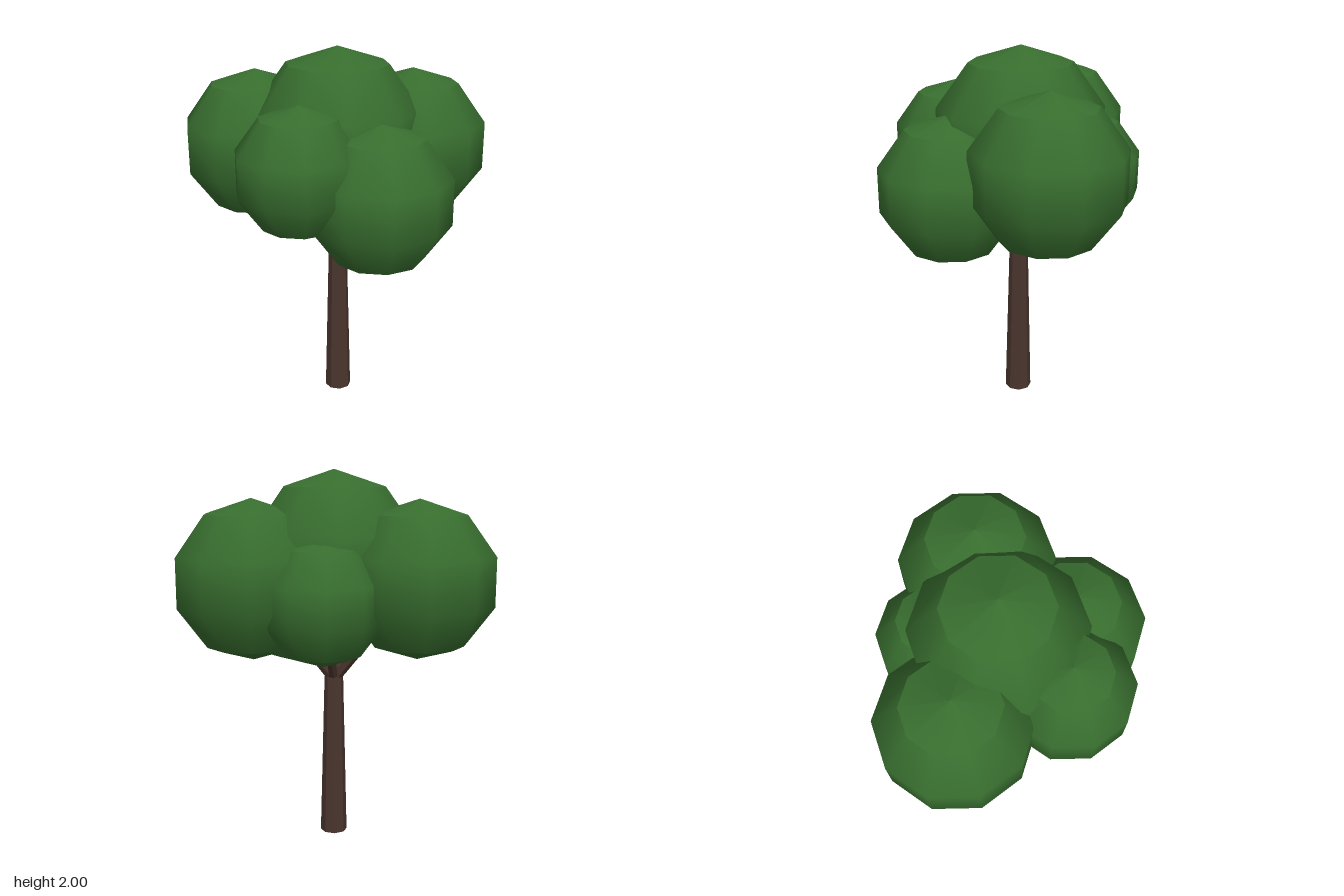
import * as THREE from 'three';

const leafGreen = new THREE.MeshStandardMaterial({ color: 0x386e2f });
const barkBrown = new THREE.MeshStandardMaterial({ color: 0x4a352d, flatShading: true });
leafGreen.name = 'leafGreen';
barkBrown.name = 'barkBrown';

const trunkX = -0.012, trunkZ = -0.058, trunkTop = 0.89;

// x, y, z, radius of each ball of leaves
const clumps = [
  ['topFoliage', -0.012, 1.532, -0.065, 0.468],
  ['rightFoliage', -0.43, 1.442, -0.285, 0.412],
  ['leftFoliage', 0.42, 1.435, -0.17, 0.42],
  ['frontRightFoliage', -0.26, 1.432, 0.275, 0.343],
  ['frontLeftFoliage', 0.143, 1.283, 0.31, 0.396],
  ['backFoliage', 0.065, 1.345, -0.376, 0.33],
];

// Ten-sided ball: smooth belly with a creased shallow cone at each end
function makeClump([name, x, y, z, r]) {
  const group = new THREE.Group();
  group.name = name;
  const ring = (i) => new THREE.Vector2(r * Math.sin(i * Math.PI / 5), -r * Math.cos(i * Math.PI / 5));
  const pieces = { bottomCap: [0, 1], belly: [1, 2, 3, 4], topCap: [4, 5] };
  for (const [part, rings] of Object.entries(pieces)) {
    const mesh = new THREE.Mesh(new THREE.LatheGeometry(rings.map(ring), 10), leafGreen);
    mesh.name = part;
    group.add(mesh);
  }
  group.position.set(x, y, z);
  return group;
}

// Tapered limb between two points
function makeLimb(name, from, to, r0, r1, sides) {
  const dir = to.clone().sub(from);
  const mesh = new THREE.Mesh(new THREE.CylinderGeometry(r1, r0, dir.length(), sides), barkBrown);
  mesh.name = name;
  mesh.position.copy(from).addScaledVector(dir, 0.5);
  mesh.quaternion.setFromUnitVectors(new THREE.Vector3(0, 1, 0), dir.normalize());
  return mesh;
}

export function createModel() {
  const tree = new THREE.Group();
  tree.name = 'tree';
  const base = new THREE.Vector3(trunkX, 0, trunkZ);
  const fork = new THREE.Vector3(trunkX, trunkTop, trunkZ);
  tree.add(makeLimb('trunk', base, fork, 0.073, 0.051, 8));

  // One branch reaches from the fork into each ball of leaves
  const start = fork.clone().setY(trunkTop - 0.02);
  for (const clump of clumps) {
    tree.add(makeClump(clump));
    const end = new THREE.Vector3(clump[1], clump[2], clump[3]);
    tree.add(makeLimb('branch', start, end, 0.027, 0.02, 6));
  }
  return tree;
}
